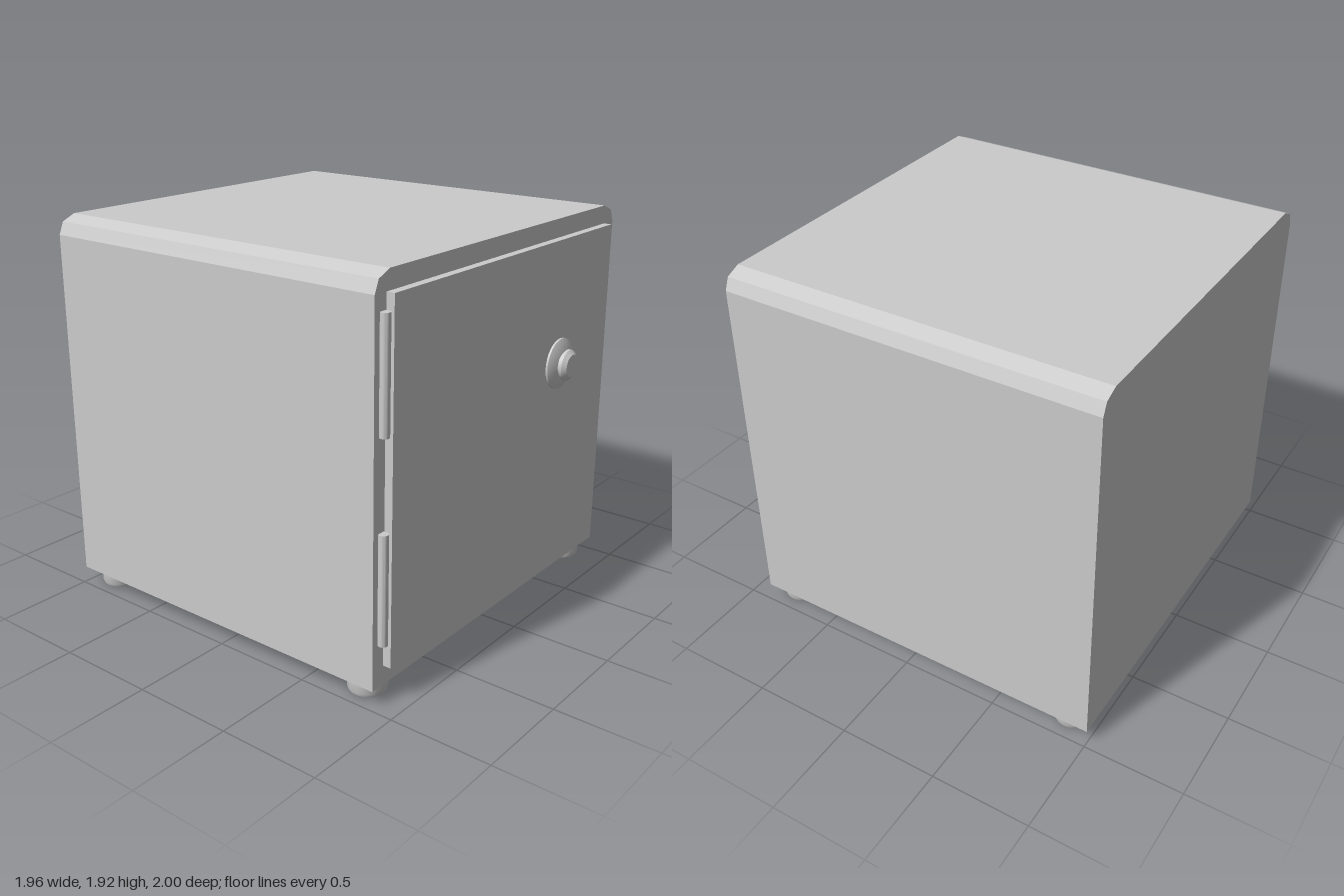
import * as THREE from 'three';
import { toCreasedNormals } from 'three/addons/utils/BufferGeometryUtils.js';

const material = new THREE.MeshStandardMaterial({ color: 0xcccccc });

function add(parent, name, geometry, x = 0, y = 0, z = 0) {
  const mesh = new THREE.Mesh(geometry, material);
  mesh.name = name;
  mesh.position.set(x, y, z);
  parent.add(mesh);
  return mesh;
}

// Turned part from [radius, height] pairs, with crisp edges between steps
function turned(profile, segments = 32) {
  const points = profile.map(([r, y]) => new THREE.Vector2(r, y));
  return toCreasedNormals(new THREE.LatheGeometry(points, segments), 0.5);
}

export function createModel() {
  const safe = new THREE.Group();
  safe.name = 'safe';

  // Cabinet: square bottom, faceted upper corners, extruded front to back
  const outline = [
    [-0.98, 0.08], [0.98, 0.08], [0.98, 1.83], [0.955, 1.89], [0.885, 1.92],
    [-0.885, 1.92], [-0.955, 1.89], [-0.98, 1.83],
  ].map(([x, y]) => new THREE.Vector2(x, y));
  const cabinet = new THREE.ExtrudeGeometry(new THREE.Shape(outline), { depth: 1.885, bevelEnabled: false });
  add(safe, 'cabinet', cabinet, 0, 0, -1);

  // Door slab, slightly proud of the cabinet front
  add(safe, 'door', new THREE.BoxGeometry(1.795, 1.655, 0.04), -0.0075, 1.0025, 0.905);

  // Hinge barrels beside the door
  for (const [name, y] of [['lowerHinge', 0.553], ['upperHinge', 1.498]]) {
    add(safe, name, toCreasedNormals(new THREE.CylinderGeometry(0.023, 0.023, 0.52, 20), 0.5), -0.93, y, 0.9);
  }

  // Lock dial: tapered flange, neck and chamfered knob
  const dial = new THREE.Group();
  dial.name = 'dial';
  dial.position.set(0.432, 1.222, 0.92);
  dial.rotation.x = Math.PI / 2;
  safe.add(dial);
  add(dial, 'dialFlange', turned([[0, 0], [0.125, 0], [0.125, 0.015], [0.088, 0.035], [0, 0.035]]));
  add(dial, 'dialKnob', turned([
    [0.062, 0.03], [0.062, 0.04], [0.076, 0.046], [0.076, 0.061], [0.056, 0.08], [0, 0.08],
  ]));

  // Four round feet with softened lower edges
  const foot = turned([[0, 0], [0.072, 0], [0.086, 0.006], [0.092, 0.02], [0.092, 0.081], [0, 0.081]]);
  for (const [side, x] of [['left', 0.86], ['right', -0.865]]) {
    add(safe, side + 'FrontFoot', foot, x, 0, 0.77);
    add(safe, side + 'BackFoot', foot, x, 0, -0.865);
  }

  return safe;
}
